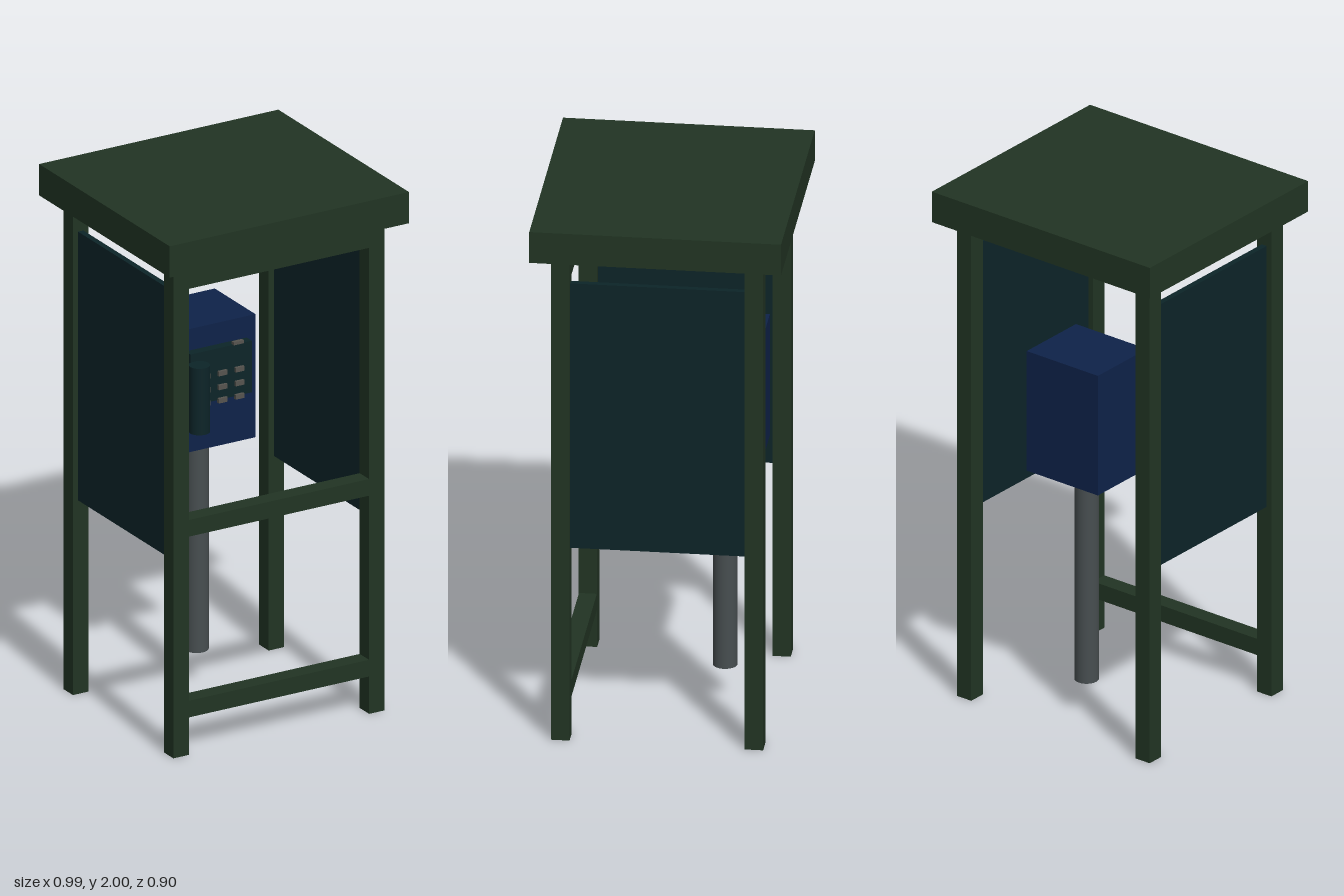
import * as THREE from 'three';

function paint(name, color) {
  const m = new THREE.MeshStandardMaterial({ color });
  m.name = name;
  return m;
}

export function createModel() {
  const root = new THREE.Group();
  root.name = 'phoneShelter';
  const green = paint('dark green', 0x213423);
  const teal = paint('dark teal', 0x0c2428);
  const blue = paint('navy blue', 0x0e2249);
  const grey = paint('steel grey', 0x474e50);
  const keyGrey = paint('key grey', 0x56544f);

  const add = (name, geometry, material, x, y, z) => {
    const mesh = new THREE.Mesh(geometry, material);
    mesh.name = name;
    mesh.position.set(x, y, z);
    root.add(mesh);
    return mesh;
  };
  // box given by its lowest and highest corners
  const box = (name, material, [x0, y0, z0], [x1, y1, z1]) =>
    add(name, new THREE.BoxGeometry(x1 - x0, y1 - y0, z1 - z0), material,
      (x0 + x1) / 2, (y0 + y1) / 2, (z0 + z1) / 2);

  // roof slab
  box('roof', green, [-0.495, 1.88, -0.45], [0.495, 2, 0.45]);

  // four posts and the two side panels between them
  for (const sx of [-1, 1]) {
    for (const sz of [-1, 1]) {
      add('post', new THREE.BoxGeometry(0.064, 1.88, 0.066), green, sx * 0.405, 0.94, sz * 0.346);
    }
    add('sidePanel', new THREE.BoxGeometry(0.022, 1.03, 0.63), teal, sx * 0.405, 1.257, 0);
  }

  // cross rails on the front
  for (const y of [0.175, 0.868, 1.818]) {
    add('frontRail', new THREE.BoxGeometry(0.75, 0.064, 0.064), green, 0, y, 0.346);
  }

  // pole carrying the phone
  add('pole', new THREE.CylinderGeometry(0.044, 0.044, 0.83, 24), grey, 0, 0.545, -0.19);

  // phone body, keypad housing and handset
  box('phoneBody', blue, [-0.163, 0.955, -0.33], [0.16, 1.427, -0.05]);
  box('keypadPlate', teal, [-0.13, 1.147, -0.06], [0.124, 1.345, -0.015]);
  add('handset', new THREE.CylinderGeometry(0.038, 0.038, 0.255, 24), teal, -0.114, 1.187, 0.02);

  // keys in three rows, and the coin slot on the top edge
  for (const x of [-0.07, 0, 0.07]) {
    for (const y of [1.146, 1.197, 1.25]) {
      add('key', new THREE.BoxGeometry(0.036, 0.018, 0.014), keyGrey, x, y, -0.012);
    }
  }
  add('coinSlot', new THREE.BoxGeometry(0.042, 0.012, 0.014), keyGrey, 0.068, 1.35, -0.018);

  return root;
}
